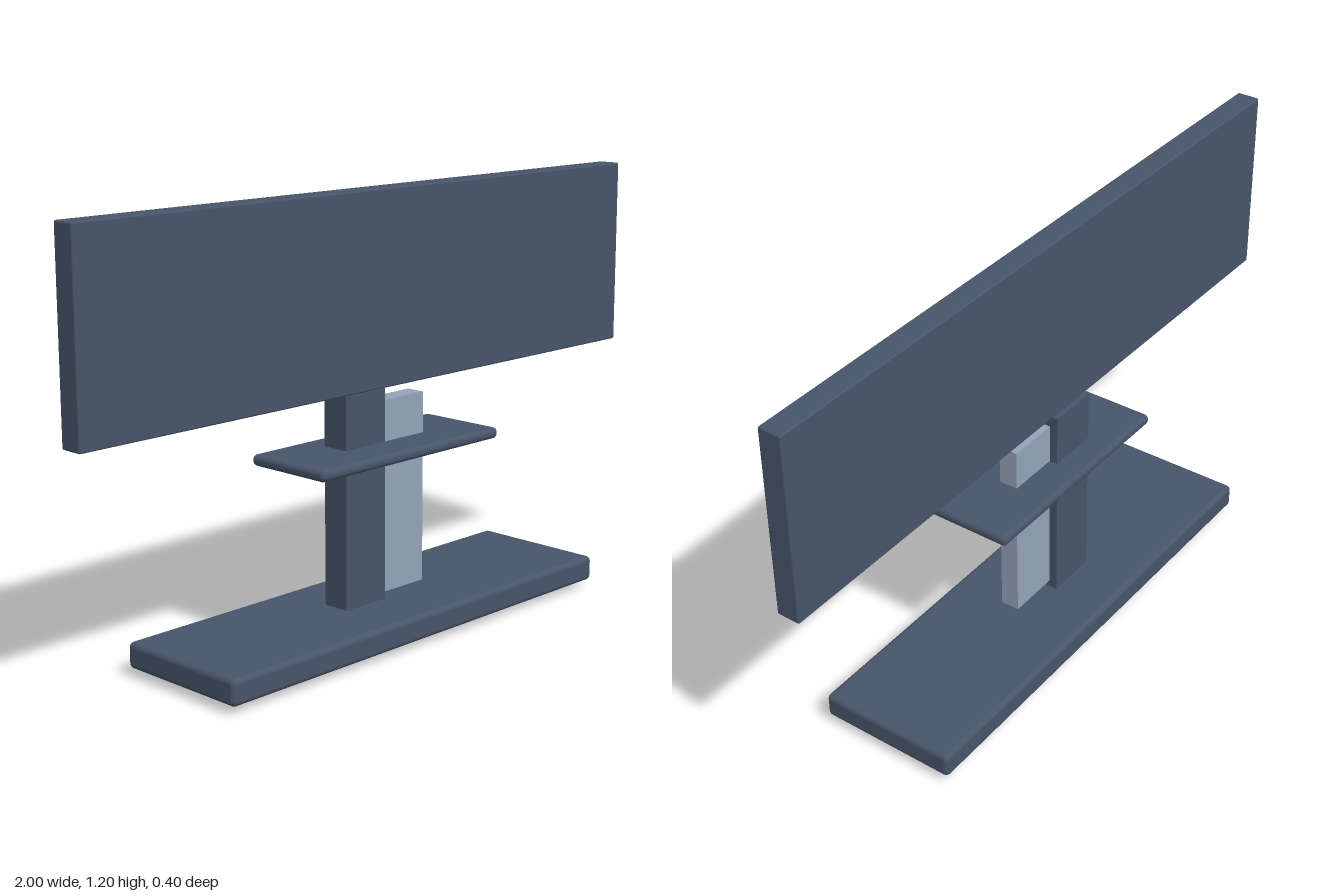
import * as THREE from 'three';
import { RoundedBoxGeometry } from 'three/addons/geometries/RoundedBoxGeometry.js';

const slate = new THREE.MeshStandardMaterial({ color: 0x475569 });
const paleSlate = new THREE.MeshStandardMaterial({ color: 0x94a3b8 });
const black = new THREE.MeshStandardMaterial({ color: 0x111111 });

// Box given by its extents; radius 0 keeps sharp edges
function block(name, material, [x0, x1], [y0, y1], [z0, z1], radius = 0) {
  const size = [x1 - x0, y1 - y0, z1 - z0];
  const geometry = radius
    ? new RoundedBoxGeometry(...size, 4, radius)
    : new THREE.BoxGeometry(...size);
  const mesh = new THREE.Mesh(geometry, material);
  mesh.name = name;
  mesh.position.set((x0 + x1) / 2, (y0 + y1) / 2, (z0 + z1) / 2);
  return mesh;
}

export function createModel() {
  const model = new THREE.Group();
  model.name = 'displayStand';

  model.add(
    // Wide screen panel
    block('screenPanel', slate, [-1, 1], [0.672, 1.198], [-0.033, 0.033], 0.005),
    // Two offset halves of the column
    block('mainColumn', slate, [-0.146, 0], [0.085, 0.672], [-0.046, 0.033]),
    block('columnCover', paleSlate, [0, 0.15], [0.11, 0.64], [-0.022, 0.032]),
    // Shelf around the column
    block('shelf', slate, [-0.338, 0.338], [0.496, 0.527], [-0.122, 0.142], 0.014),
    // Floor base
    block('base', slate, [-0.698, 0.698], [0.02, 0.091], [-0.2, 0.2], 0.015)
  );

  // Castors, mostly recessed into the base
  const wheelGeometry = new THREE.CylinderGeometry(0.033, 0.033, 0.022, 24).rotateZ(Math.PI / 2);
  for (const x of [-0.588, 0.588]) {
    for (const z of [-0.136, 0.136]) {
      const wheel = new THREE.Mesh(wheelGeometry, black);
      wheel.name = (z > 0 ? 'front' : 'back') + (x > 0 ? 'Left' : 'Right') + 'Wheel';
      wheel.position.set(x, 0.033, z);
      model.add(wheel);
    }
  }
  return model;
}
